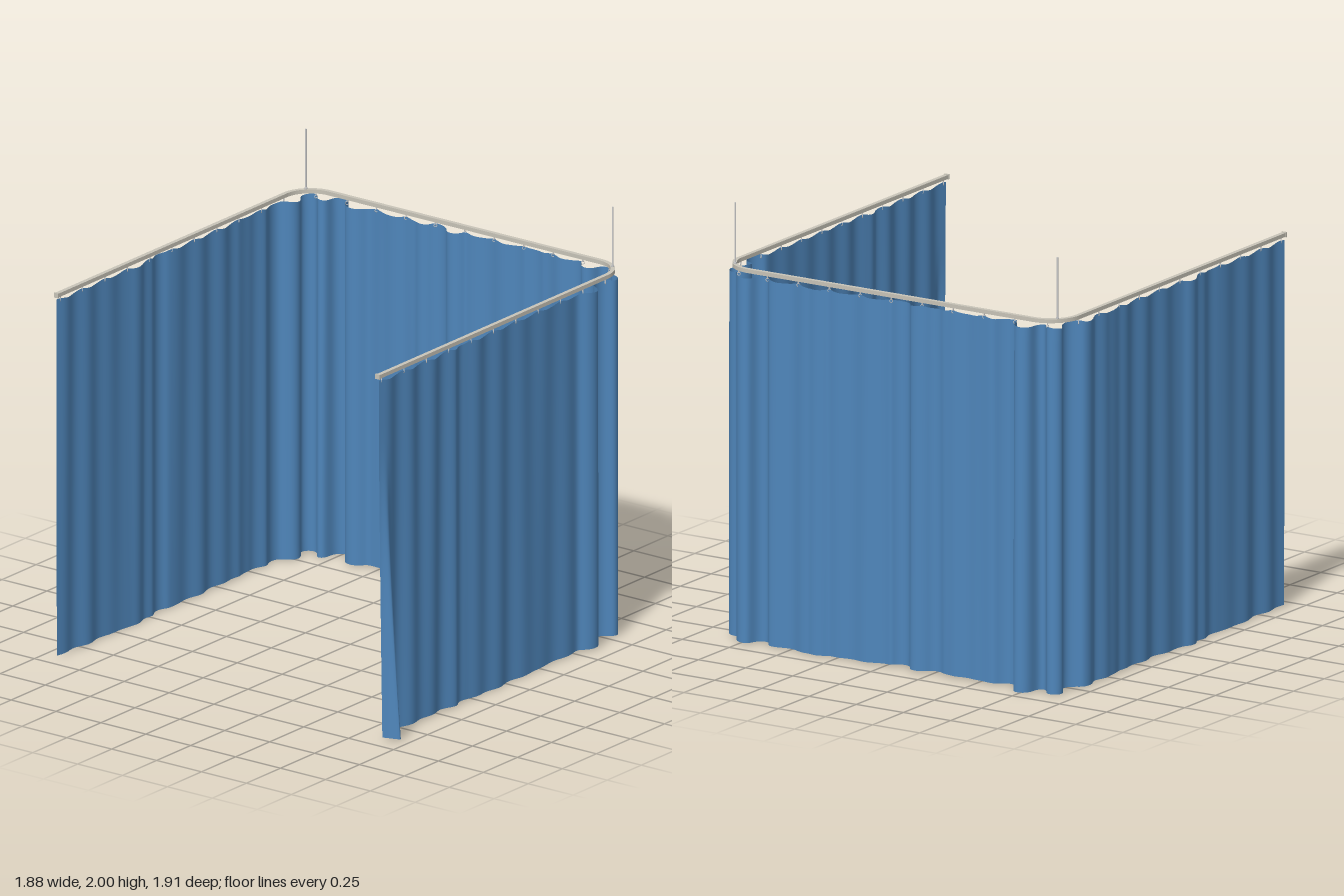
import * as THREE from 'three';

const X0 = -0.94, XC = 0.74, ZF = 0.865, ZB = -0.925, R = 0.14;
const ARM = XC - X0, ARC = R * Math.PI / 2, SIDE = ZF - ZB - 2 * R;
const TOTAL = 2 * ARM + 2 * ARC + SIDE;

// Point and outward normal on the U-shaped path, s measured from the front free end
function pathAt(s) {
  if (s < ARM) return { x: X0 + s, z: ZF, nx: 0, nz: 1 };
  s -= ARM;
  if (s < ARC) {
    const a = s / R, nx = Math.sin(a), nz = Math.cos(a);
    return { x: XC + R * nx, z: ZF - R + R * nz, nx, nz };
  }
  s -= ARC;
  if (s < SIDE) return { x: XC + R, z: ZF - R - s, nx: 1, nz: 0 };
  s -= SIDE;
  if (s < ARC) {
    const a = s / R, nx = Math.cos(a), nz = -Math.sin(a);
    return { x: XC + R * nx, z: ZB + R + R * nz, nx, nz };
  }
  return { x: XC - (s - ARC), z: ZB, nx: 0, nz: -1 };
}
const onFront = x => x - X0;
const onSide = z => ARM + ARC + (ZF - R - z);
const onBack = x => TOTAL - (x - X0);

// Deep folds: position along the path, outward depth, half width
const FOLDS = [
  [onFront(-0.33), -0.012, 0.03], [onFront(0.6), 0.042, 0.045], [onFront(0.72), -0.045, 0.04],
  [ARM + 0.07, 0.025, 0.035], [onSide(0.74), 0.024, 0.045], [onSide(0.67), -0.042, 0.03],
  [onSide(0.35), 0.026, 0.035], [onSide(-0.08), -0.044, 0.035], [onSide(-0.17), 0.02, 0.035],
  [onSide(-0.26), -0.02, 0.03], [onSide(-0.42), -0.016, 0.04], [onSide(-0.64), -0.042, 0.045],
  [onSide(-0.74), 0.052, 0.035], [onSide(-0.81), -0.035, 0.028], [onSide(-0.88), 0.032, 0.03],
  [onBack(0.77), -0.05, 0.04], [onBack(0.65), 0.018, 0.04], [onBack(0.45), 0.016, 0.04],
  [onBack(-0.17), 0.028, 0.04], [onBack(-0.34), -0.014, 0.04],
];
const HOOKS = 33, STEP = (TOTAL - 0.06) / (HOOKS - 1);

function curtainPoint(s, v, out) {
  const p = pathAt(s), drop = 1 - v;
  const phase = (s - 0.03) / STEP * Math.PI;
  // Gentle ripple between hooks, a little irregular towards the hem
  let n = 0.008 * Math.sin(phase * 2) * (0.7 + 0.3 * Math.sin(s * 3.7))
    + 0.005 * drop * Math.sin(s * 23 + 1) + 0.002;
  let t = 0;
  for (const [c, depth, w] of FOLDS) {
    const u = (s - c) / w, g = Math.exp(-u * u);
    n += depth * g * (0.85 + 0.15 * drop);
    t += 0.7 * Math.abs(depth) * u * g;
  }
  // Front free corner kicks outward near the floor
  const kick = Math.pow(Math.max(0, 1 - v * 1.69 / 1.4), 1.3);
  n += 0.085 * kick * Math.exp(-Math.pow((s - 0.045) / 0.025, 2));
  const top = 1.678 + 0.009 * Math.pow(Math.cos(phase), 4);
  const hem = 0.005 + 0.004 * Math.sin(s * 5) + 0.008 * Math.exp(-s * 8);
  out.push(p.x + p.nx * n + p.nz * t, hem + (top - hem) * v, p.z + p.nz * n - p.nx * t);
}

function curtainGeometry() {
  const cols = 900, rows = 24, pos = [], idx = [];
  for (let j = 0; j <= rows; j++)
    for (let i = 0; i <= cols; i++)
      curtainPoint(0.012 + (TOTAL - 0.024) * i / cols, j / rows, pos);
  for (let j = 0; j < rows; j++)
    for (let i = 0; i < cols; i++) {
      const a = j * (cols + 1) + i, b = a + 1, c = a + cols + 1, d = c + 1;
      idx.push(a, b, d, a, d, c);
    }
  const g = new THREE.BufferGeometry();
  g.setAttribute('position', new THREE.Float32BufferAttribute(pos, 3));
  g.setIndex(idx);
  g.computeVertexNormals();
  return g;
}

// Flat U outline of the rail, extruded to its height
function railGeometry(width, height) {
  const h = width / 2, s = new THREE.Shape();
  const cy1 = -(ZF - R), cy2 = -(ZB + R);
  s.moveTo(X0, -ZF - h);
  s.lineTo(XC, -ZF - h);
  s.absarc(XC, cy1, R + h, -Math.PI / 2, 0, false);
  s.absarc(XC, cy2, R + h, 0, Math.PI / 2, false);
  s.lineTo(X0, -ZB + h);
  s.lineTo(X0, -ZB - h);
  s.absarc(XC, cy2, R - h, Math.PI / 2, 0, true);
  s.absarc(XC, cy1, R - h, 0, -Math.PI / 2, true);
  s.lineTo(X0, -ZF + h);
  s.closePath();
  const g = new THREE.ExtrudeGeometry(s, { depth: height, bevelEnabled: false, curveSegments: 16 });
  return g.rotateX(-Math.PI / 2);
}

export function createModel() {
  const model = new THREE.Group();
  const cloth = new THREE.MeshStandardMaterial({ color: 0x4f86bb, side: THREE.DoubleSide });
  const railMat = new THREE.MeshStandardMaterial({ color: 0xc8c4b8 });
  const metal = new THREE.MeshStandardMaterial({ color: 0xcccccc });
  const add = (parent, name, geo, mat, x = 0, y = 0, z = 0) => {
    const m = new THREE.Mesh(geo, mat);
    m.name = name;
    m.position.set(x, y, z);
    parent.add(m);
    return m;
  };

  add(model, 'curtain', curtainGeometry(), cloth);
  add(model, 'rail', railGeometry(0.02, 0.018), railMat, 0, 1.7, 0);

  // Caps closing the free ends of the rail
  for (const z of [ZF, ZB])
    add(model, 'railEndCap', new THREE.BoxGeometry(0.008, 0.023, 0.024), railMat, X0 + 0.003, 1.709, z);

  // Ceiling rods at the middle of each corner
  const d = R * Math.SQRT1_2;
  for (const z of [ZF - R + d, ZB + R - d]) {
    add(model, 'ceilingRod', new THREE.CylinderGeometry(0.004, 0.004, 0.285, 12), metal, XC + d, 1.8575, z);
    add(model, 'rodCollar', new THREE.CylinderGeometry(0.007, 0.007, 0.008, 12), metal, XC + d, 1.721, z);
  }

  // Gliders with rings carrying the cloth
  const stem = new THREE.CylinderGeometry(0.003, 0.003, 0.016, 8);
  const ring = new THREE.TorusGeometry(0.007, 0.0018, 6, 14);
  for (let i = 0; i < HOOKS; i++) {
    const p = pathAt(0.03 + i * STEP), hook = new THREE.Group();
    hook.name = 'curtainHook';
    hook.position.set(p.x, 0, p.z);
    hook.rotation.y = Math.atan2(p.nx, p.nz);
    add(hook, 'hookStem', stem, metal, 0, 1.695, 0);
    add(hook, 'hookRing', ring, metal, 0, 1.682, 0).rotation.y = Math.PI / 4;
    model.add(hook);
  }
  return model;
}
